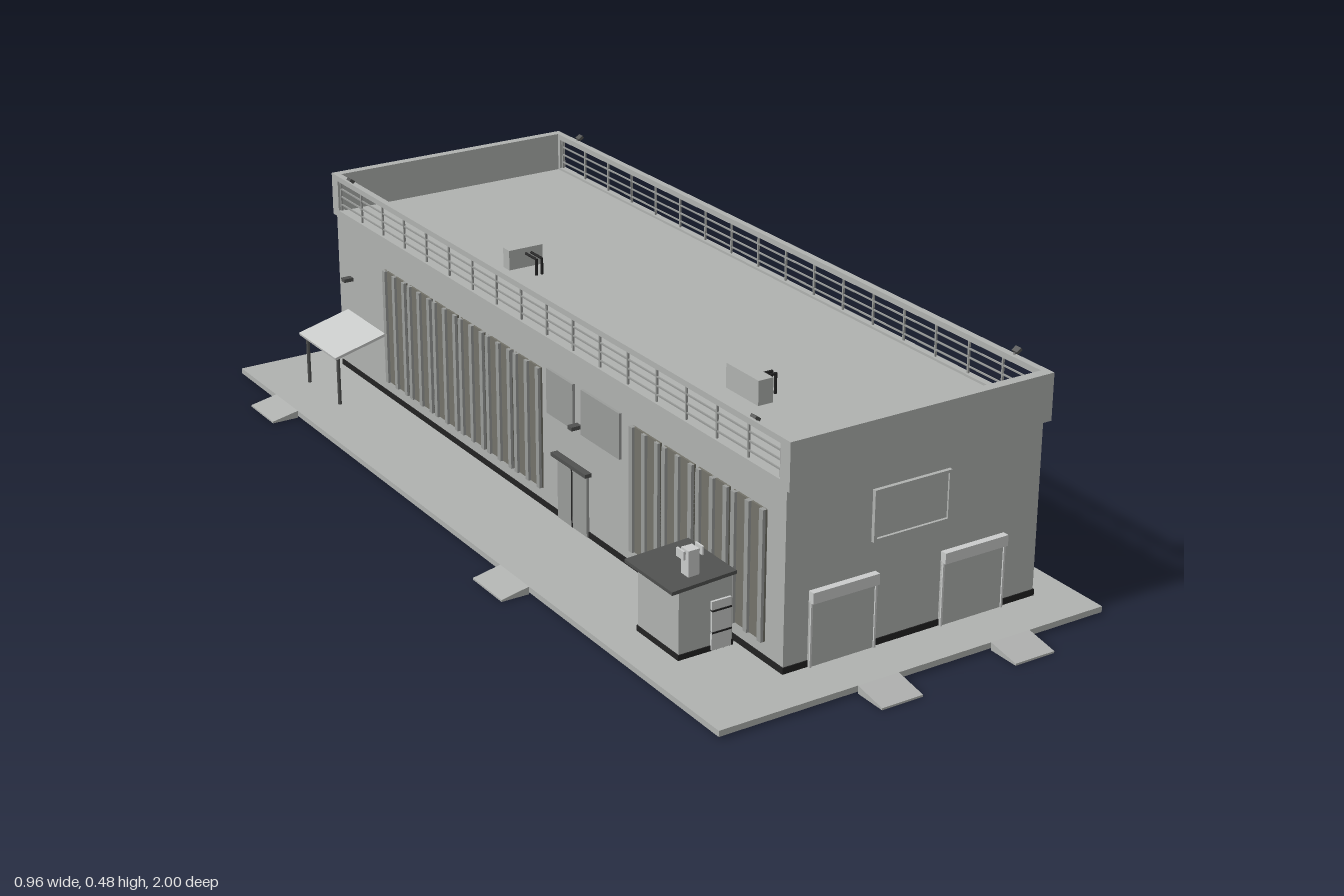
import * as THREE from 'three';

const mat = (name, color) => {
  const m = new THREE.MeshStandardMaterial({ color });
  m.name = name;
  return m;
};

export function createModel() {
  const concrete = mat('concrete grey', 0xb0b2b0);
  const light = mat('light panel', 0xcacccb);
  const glass = mat('olive glass', 0x74736a);
  const frame = mat('window frame', 0x5e5e56);
  const dark = mat('dark roofing', 0x505150);
  const black = mat('black plinth', 0x222222);
  const metal = mat('metal grey', 0x9a9c9a);

  const root = new THREE.Group();
  root.name = 'building';
  const group = (name) => {
    const g = new THREE.Group();
    g.name = name;
    root.add(g);
    return g;
  };
  // Box given by its limits
  const box = (parent, name, material, x0, x1, y0, y1, z0, z1) => {
    const w = Math.abs(x1 - x0), d = Math.abs(z1 - z0);
    const mesh = new THREE.Mesh(new THREE.BoxGeometry(w, y1 - y0, d), material);
    mesh.position.set((x0 + x1) / 2, (y0 + y1) / 2, (z0 + z1) / 2);
    mesh.name = name;
    parent.add(mesh);
    return mesh;
  };
  const rod = (parent, name, material, a, b, r) => {
    const path = new THREE.LineCurve3(new THREE.Vector3(...a), new THREE.Vector3(...b));
    const mesh = new THREE.Mesh(new THREE.TubeGeometry(path, 1, r, 6), material);
    mesh.name = name;
    parent.add(mesh);
  };

  // Ground slab and ramps
  const ground = group('ground');
  box(ground, 'slab', concrete, -0.42, 0.44, 0.004, 0.016, -1, 0.93);
  const ramp = (x0, x1, z0, z1, axis, sign) => {
    const m = box(ground, 'ramp', concrete, x0, x1, 0, 0.016, z0, z1);
    const p = m.geometry.attributes.position;
    for (let i = 0; i < p.count; i++) {
      const outer = p.getComponent(i, axis) * sign > 0;
      if (outer && p.getY(i) > 0) p.setY(i, -0.004);
    }
    m.geometry.computeVertexNormals();
  };
  ramp(-0.125, -0.035, 0.93, 1, 2, 1);
  ramp(0.175, 0.265, 0.93, 1, 2, 1);
  ramp(-0.48, -0.42, -0.82, -0.71, 0, -1);
  ramp(-0.48, -0.42, 0.18, 0.29, 0, -1);
  ramp(0.44, 0.48, -0.1, 0.1, 0, 1);

  // Main block with plinth, flat roof and end parapets
  const body = group('mainBlock');
  box(body, 'walls', concrete, -0.213, 0.36, 0.016, 0.385, -0.9, 0.825);
  box(body, 'plinth', black, -0.215, 0.362, 0.016, 0.029, -0.902, 0.827);
  box(body, 'frontParapet', concrete, -0.217, 0.368, 0.375, 0.47, 0.817, 0.838);
  box(body, 'backParapet', concrete, -0.217, 0.368, 0.375, 0.47, -0.91, -0.89);

  // Side railings with ledges, returns, posts and rails
  for (const [x0, x1] of [[-0.217, -0.203], [0.354, 0.368]]) {
    const rail = group(x0 < 0 ? 'rightRailing' : 'leftRailing');
    const xm = (x0 + x1) / 2;
    box(rail, 'ledge', concrete, x0, x1, 0.375, 0.39, -0.89, 0.817);
    box(rail, 'topBeam', concrete, x0, x1, 0.458, 0.47, -0.89, 0.817);
    for (const z of [-0.89, 0.809])
      box(rail, 'cornerReturn', concrete, x0, x1, 0.39, 0.458, z, z + 0.008);
    for (const y of [0.404, 0.422, 0.44])
      box(rail, 'rail', metal, xm - 0.0015, xm + 0.0015, y - 0.0015, y + 0.0015, -0.88, 0.81);
    for (let i = 0; i <= 17; i++) {
      const z = -0.88 + i * 0.099;
      box(rail, 'post', metal, xm - 0.002, xm + 0.002, 0.39, 0.458, z - 0.002, z + 0.002);
    }
  }

  // Tall window with projecting mullions; s is the outward direction along x
  const windowUnit = (parent, x, s, z, w, y0, y1, cross) => {
    const plane = (name, m, out, a, b, c, d) => box(parent, name, m, x, x + s * out, a, b, c, d);
    plane('pane', glass, 0.008, y0, y1, z, z + w);
    for (const f of [0, 0.5, 1]) {
      const c = z + f * (w - 0.006);
      plane('mullion', frame, 0.014, y0, y1, c, c + 0.006);
    }
    const n = cross;
    for (let i = 0; i <= n; i++) {
      const y = y0 + (i / n) * (y1 - y0 - 0.005);
      plane('transom', frame, 0.012, y, y + 0.005, z, z + w);
    }
  };
  const leftWindows = group('leftWindows');
  for (const [start, count] of [[0.58, 2], [0.085, 4], [-0.6, 4], [-0.87, 2]])
    for (let i = 0; i < count; i++)
      windowUnit(leftWindows, 0.36, 1, start + i * 0.114, 0.105, 0.066, 0.33, 4);
  const rightWindows = group('rightWindows');
  for (const [start, count] of [[-0.67, 6], [0.33, 4]])
    for (let i = 0; i < count; i++) {
      const z = start + i * 0.113;
      box(rightWindows, 'pane', glass, -0.213, -0.217, 0.056, 0.316, z, z + 0.1);
      for (const f of [0, 0.044, 0.088])
        box(rightWindows, 'mullion', metal, -0.213, -0.223, 0.056, 0.316, z + f, z + f + 0.012);
    }

  // Main entrance on the left side
  const entrance = group('mainEntrance');
  box(entrance, 'doorGlass', glass, 0.36, 0.367, 0.018, 0.132, -0.105, 0.04);
  for (const z of [-0.105, -0.07, -0.035, 0.0, 0.036])
    box(entrance, 'doorFrame', frame, 0.36, 0.371, 0.018, 0.132, z, z + 0.005);
  box(entrance, 'doorHead', frame, 0.36, 0.371, 0.127, 0.134, -0.105, 0.041);
  box(entrance, 'signBoard', concrete, 0.36, 0.374, 0.17, 0.205, -0.125, 0.055);
  box(entrance, 'upperPanel', light, 0.36, 0.367, 0.24, 0.328, -0.1, 0.035);

  // Right side service door, panels and lamps
  const service = group('serviceEntrance');
  box(service, 'door', metal, -0.213, -0.219, 0.018, 0.15, 0.06, 0.17);
  box(service, 'doorGap', black, -0.213, -0.22, 0.018, 0.15, 0.113, 0.117);
  box(service, 'doorHead', dark, -0.213, -0.228, 0.15, 0.158, 0.05, 0.18);
  box(service, 'smallPanel', metal, -0.213, -0.219, 0.23, 0.325, 0.02, 0.12);
  box(service, 'largePanel', metal, -0.213, -0.219, 0.23, 0.325, 0.15, 0.29);
  for (const z of [-0.84, 0.135])
    box(service, 'lamp', dark, -0.213, -0.235, 0.238, 0.246, z - 0.008, z + 0.008);

  // Roller doors, front and back
  const roller = (x0, x1, z, s) => {
    const g = group('rollerDoor');
    box(g, 'shutter', concrete, x0, x1, 0.016, 0.147, z, z + s * 0.005);
    box(g, 'rollerBox', light, x0, x1, 0.145, 0.167, z, z + s * 0.014);
    for (const x of [x0, x1 - 0.004])
      box(g, 'guide', light, x, x + 0.004, 0.016, 0.147, z, z + s * 0.008);
  };
  roller(-0.16, -0.014, 0.825, 1);
  roller(0.135, 0.281, 0.825, 1);
  roller(0.19, 0.336, -0.9, -1);

  // Framed blank panel on the front
  const panel = group('frontPanel');
  box(panel, 'board', concrete, -0.02, 0.14, 0.235, 0.325, 0.825, 0.829);
  for (const y of [0.228, 0.324])
    box(panel, 'border', concrete, -0.026, 0.146, y, y + 0.006, 0.825, 0.833);
  for (const x of [-0.026, 0.14])
    box(panel, 'border', concrete, x, x + 0.006, 0.234, 0.324, 0.825, 0.833);

  // Back window with light bars
  const backWin = group('backWindow');
  box(backWin, 'pane', glass, -0.155, -0.05, 0.05, 0.33, -0.9, -0.905);
  for (let i = 0; i < 5; i++) {
    const x = -0.155 + i * 0.0235;
    box(backWin, 'bar', light, x, x + 0.011, 0.05, 0.33, -0.9, -0.911);
  }

  // Canopy on posts near the back corner
  const canopy = group('canopy');
  const sheet = box(canopy, 'sheet', light, -0.34, -0.213, 0.142, 0.148, -0.86, -0.68);
  sheet.rotation.z = 0.25;
  for (const z of [-0.845, -0.695])
    rod(canopy, 'post', dark, [-0.325, 0.016, z], [-0.325, 0.13, z], 0.004);

  // Booth with sloping roof, door and chimney
  const booth = group('booth');
  box(booth, 'walls', concrete, -0.345, -0.23, 0.02, 0.162, 0.555, 0.69);
  box(booth, 'plinth', black, -0.347, -0.228, 0.02, 0.031, 0.553, 0.692);
  const roof = box(booth, 'roof', dark, -0.366, -0.228, 0.162, 0.169, 0.543, 0.7);
  roof.rotation.z = 0.05;
  box(booth, 'door', light, -0.277, -0.235, 0.022, 0.12, 0.69, 0.695);
  for (const y of [0.056, 0.1])
    box(booth, 'doorBar', black, -0.277, -0.235, y, y + 0.003, 0.69, 0.697);
  box(booth, 'chimney', light, -0.313, -0.29, 0.165, 0.22, 0.648, 0.672);
  for (const x of [-0.324, -0.284])
    box(booth, 'chimneyWing', light, x, x + 0.004, 0.205, 0.222, 0.648, 0.672);
  box(booth, 'chimneyBracket', light, -0.324, -0.28, 0.211, 0.215, 0.656, 0.664);

  // Rooftop cooling units with pipes
  const units = group('roofUnits');
  box(units, 'backUnit', concrete, -0.09, -0.01, 0.39, 0.433, -0.37, -0.345);
  box(units, 'frontUnit', concrete, -0.065, -0.032, 0.39, 0.44, 0.42, 0.525);
  for (const d of [0, 0.013]) {
    const x = -0.05 + d, z = 0.47 + d;
    rod(units, 'pipe', black, [x, 0.42, -0.345], [x, 0.42, -0.3], 0.003);
    rod(units, 'pipe', black, [x, 0.422, -0.302], [x, 0.385, -0.302], 0.003);
    rod(units, 'pipe', black, [-0.032, 0.425, z], [0.005, 0.425, z], 0.003);
    rod(units, 'pipe', black, [0.003, 0.427, z], [0.003, 0.385, z], 0.003);
  }

  // Floodlights at the roof corners
  const floods = group('floodlights');
  for (const z of [-0.82, 0.73])
    for (const [x, s] of [[-0.207, -1], [0.362, 1]]) {
      rod(floods, 'arm', dark, [x, 0.468, z], [x + s * 0.01, 0.477, z], 0.002);
      const head = box(floods, 'head', dark, x + s * 0.002, x + s * 0.014, 0.474, 0.48, z - 0.008, z + 0.008);
      head.rotation.z = s * 0.6;
    }

  return root;
}
